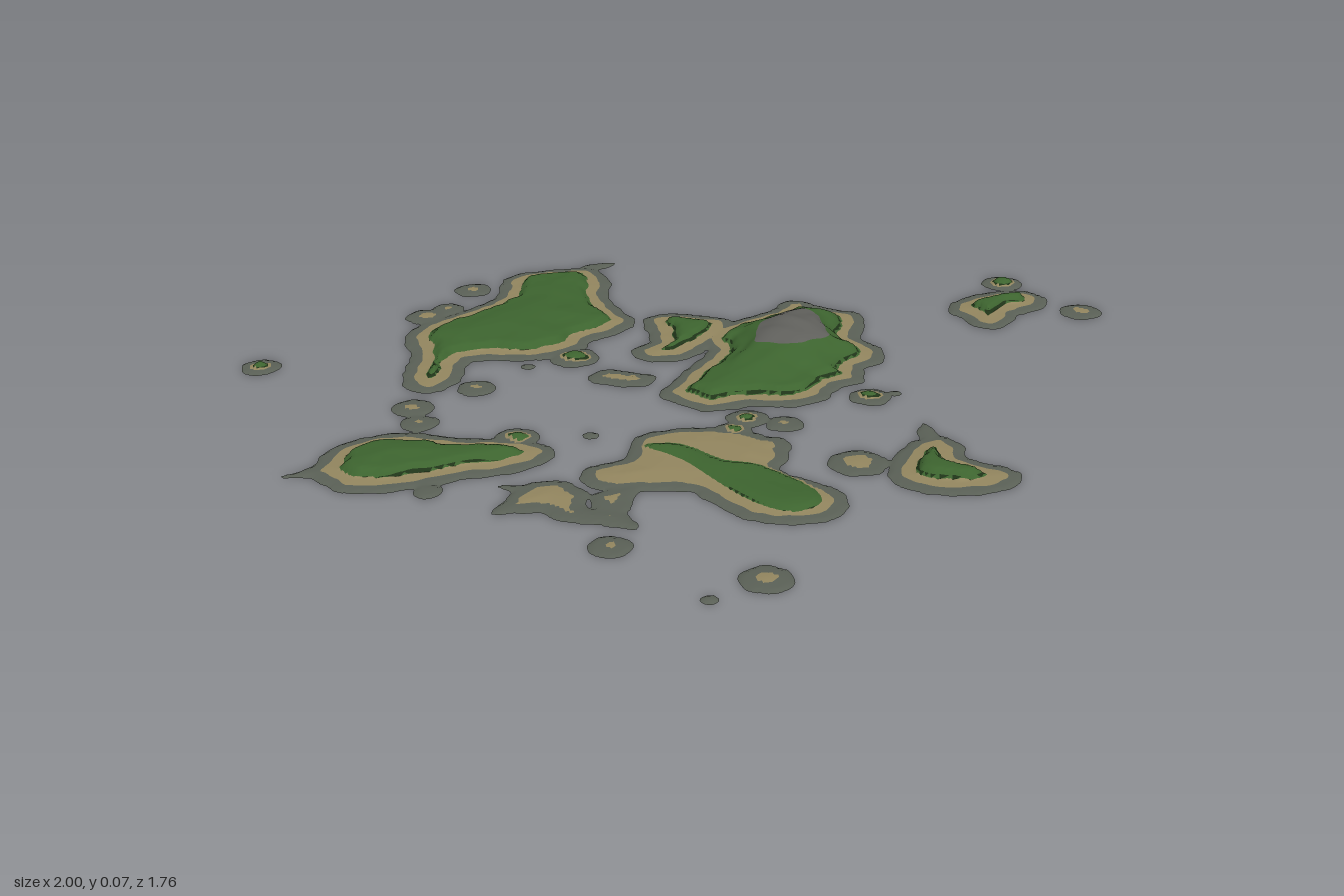
import * as THREE from 'three';
import { mergeVertices } from 'three/addons/utils/BufferGeometryUtils.js';

const STEP = 0.008, SHORE = 0.028, BEACH = 0.054;
const smooth = THREE.MathUtils.smoothstep;

// Soft repeatable bumps, about -1 to 1
const bumps = (x, z, f) =>
  (Math.sin(x * f + 1.7 * Math.sin(z * f * 0.7)) + Math.sin(z * f * 1.1 + 1.9 * Math.sin(x * f * 0.6 + 2))) / 2;

// Closed smooth outline from a few x, z pairs in hundredths
function outline(flat) {
  const pts = [];
  for (let i = 0; i < flat.length; i += 2) pts.push(new THREE.Vector3(flat[i] / 100, 0, flat[i + 1] / 100));
  return new THREE.CatmullRomCurve3(pts, true, 'centripetal').getPoints(pts.length * 3);
}

// Distance to an outline, positive inside
function inside(pts, x, z) {
  let best = Infinity, within = false;
  for (let i = 0, j = pts.length - 1; i < pts.length; j = i++) {
    const a = pts[j], b = pts[i], ex = b.x - a.x, ez = b.z - a.z;
    const t = THREE.MathUtils.clamp(((x - a.x) * ex + (z - a.z) * ez) / (ex * ex + ez * ez || 1), 0, 1);
    best = Math.min(best, Math.hypot(x - a.x - t * ex, z - a.z - t * ez));
    if ((a.z > z) !== (b.z > z) && x < a.x + ((z - a.z) / ez) * ex) within = !within;
  }
  return within ? best : -best;
}

function makeIslands() {
  const list = [];
  // top: plateau height (0 = sand only), cliff: share of the rim that is a cliff
  function island(top, cliff, flat, extra = {}) {
    const pts = outline(flat), box = new THREE.Box3().setFromPoints(pts).expandByScalar(0.04);
    list.push({ top, cliff, box, dist: (x, z) => inside(pts, x, z), beach: BEACH, ...extra });
  }
  // North-west plain
  island(0.018, 0.25, [-33, -84, -21, -85, -15, -84, -12, -72, -14, -64, -12, -52, -10, -45, -16, -38, -22, -35,
    -24, -31, -35, -26, -50, -28, -53, -18, -60, -12, -65, -16, -65, -25, -63, -34, -64, -45, -60, -53, -50, -60,
    -41, -68, -38, -80]);
  // Central mountain island and its north-west neighbour
  island(0.02, 0.9, [6, -37, 12, -41, 22, -46, 28, -50, 33, -48, 38, -44, 43, -40, 42, -32, 39, -25, 42, -18, 40, -10,
    35, -7, 33, 0, 27, 2, 22, 8, 14, 10, 6, 8, -3, 9, -8, 5, -12, -2, -8, -8, -5, -13, -1, -18, 3, -24, 2, -30],
  { peak: true });
  island(0.02, 0.9, [-8, -47, -1, -49, 6, -46, 12, -42, 11, -34, 4, -26, -3, -20, -12, -21, -14, -28, -9, -32]);
  // East, west and south-east islands
  island(0.024, 0.6, [64, -37, 67, -43, 78, -48, 87, -47, 90, -41, 87, -35, 80, -32, 77, -28, 71, -24, 67, -27, 66, -32]);
  island(0.022, 0.4, [-91, 23, -85, 20, -82, 13, -75, 8, -66, 7, -55, 12, -46, 14, -39, 18, -37, 23, -41, 28, -50, 31,
    -55, 31, -63, 33, -72, 34, -80, 32, -85, 25]);
  island(0.024, 0.9, [25, 46, 30, 36, 35, 31, 41, 30, 44, 36, 43, 41, 51, 49, 48, 55, 40, 57, 31, 55, 26, 50]);
  // South sand island with a strip of grass
  const strip = outline([-20, 23, -12, 25, -5, 34, 2, 37, 10, 50, 9, 56, 3, 58, -3, 53, -9, 41, -13, 32]);
  island(0.009, 0, [-20, 18, -8, 16, 3, 20, 8, 27, 8, 35, 5, 39, 13, 48, 15, 54, 11, 61, 3, 62, -5, 59, -11, 50, -14, 45,
    -23, 43, -31, 41, -34, 35, -31, 30, -24, 28], { grass: (x, z) => inside(strip, x, z) });
  // Low sandbanks and spits
  island(0, 0, [-45, 36, -38, 35, -33, 42, -34, 48, -28, 50, -26, 58, -33, 55, -40, 52, -43, 48, -52, 47, -50, 43]);
  island(0, 0, [-26, -13, -22, -18, -15, -15, -11, -12, -14, -7, -20, -8]);
  island(0, 0, [-18, -85, -13, -88, -9, -87, -9, -86, -14, -83]);
  island(0, 0, [36, 32, 39, 23, 40, 24, 40, 33]);
  island(0, 0, [-33, 43, -22, 40, -24, 44, -28, 52, -31, 52]);
  island(0, 0, [-50, 35, -45, 36, -42, 39, -45, 40]);
  // Round islets: x, z, radius in hundredths, and hill height in thousandths
  const islets = [
    [-96, -34, 4.5, 18], [95, -31, 5, 0], [83, -53, 5, 17], [-46, -74, 4.5, 0], [-58, -58, 5, 0], [-53, -62, 4, 0],
    [29, -47, 4.7, 0], [32, 8, 4.5, 12], [-50, -13, 4.2, 0], [-27, -26, 5.5, 12], [-64, -5, 4.5, 0], [-63, 3, 4, 0],
    [-44, 14, 4.7, 12], [4, 14, 4.5, 10], [11, 18, 4, 0], [0, 19, 4, 7], [5, 28, 5, 0], [21, 39, 6, 0],
    [-32, 64, 4.2, 0], [-7, 81, 5, 0], [-18, 86, 1.6, 0], [-29, 16, 1.7, 0], [-38, -23, 1.6, 0], [-63, 35, 3, 0],
    [-16, -12, 3, 6], [38, 7, 1.5, 0],
  ];
  for (const [cx, cz, cr, ht] of islets) {
    const x0 = cx / 100, z0 = cz / 100, r = cr / 100, m = r + 0.04;
    list.push({
      top: ht / 1000, cliff: 0.6, beach: 0.024,
      box: new THREE.Box3(new THREE.Vector3(x0 - m, 0, z0 - m), new THREE.Vector3(x0 + m, 0, z0 + m)),
      dist: (x, z) => r - Math.hypot(x - x0, z - z0),
    });
  }
  return list;
}

// Height y, band (0 shore, 1 beach, 2 grass, 3 rock) and cliff value at one spot
function sample(islands, x, z) {
  const v = { x, y: 0, z, band: -1, cliff: -0.02 };
  for (const s of islands) {
    if (x < s.box.min.x || x > s.box.max.x || z < s.box.min.z || z > s.box.max.z) continue;
    const d = s.dist(x, z) + 0.003 * bumps(x, z, 95);
    const g = !s.top ? d - 1 : s.grass ? s.grass(x, z) : d - s.beach - 0.005 * bumps(x + 3, z, 60);
    let band = d / SHORE;
    if (g > 0) band = 2 + Math.min(g / 0.05, 0.9);
    else if (d > SHORE) band = 1 + (d - SHORE) / (d - SHORE - g);
    let y = 0.003 * smooth(d, 0, 0.008) + 0.07 * Math.min(Math.max(d, 0), 0.08);
    if (g > 0) {
      y += s.top * (0.6 * smooth(g, 0, 0.016) + 0.4 * smooth(g, 0, 0.13));
      y += 0.0015 * bumps(x, z, 32) * smooth(g, 0, 0.05);
      v.cliff = Math.max(v.cliff, 0.007 - g - 0.014 * Math.max(0, bumps(x, z + 5, 14) + 1 - 2 * s.cliff));
    }
    if (s.peak && g > 0) {
      const dx = x - 0.23, dz = z + 0.23, u = dx * 0.7 - dz * 0.71, w = dx * 0.71 + dz * 0.7;
      const hill = 0.041 * Math.exp(-u * u / 0.026 - w * w / 0.012) * smooth(g, 0, 0.06);
      y += hill * (1 + 0.07 * bumps(x, z, 60));
      band = Math.max(band, 3 + (hill - 0.024 + 0.003 * bumps(x, z, 50)) * 20);
    }
    v.band = Math.max(v.band, band);
    v.y = Math.max(v.y, y);
  }
  return v;
}

// Keeps the side of a polygon where sign * (field - level) is positive
function clip(poly, field, level, sign) {
  const out = [];
  poly.forEach((a, i) => {
    const b = poly[(i + 1) % poly.length];
    const fa = sign * (a[field] - level), fb = sign * (b[field] - level);
    if (fa >= 0) out.push(a);
    if ((fa >= 0) !== (fb >= 0)) {
      const t = fa / (fa - fb), c = {};
      for (const k in a) c[k] = a[k] + (b[k] - a[k]) * t;
      out.push(c);
    }
  });
  return out;
}

export function createModel() {
  const group = new THREE.Group();
  group.name = 'archipelago';
  const islands = makeIslands();
  const bands = [
    { name: 'shore', color: 0x5a6056, lo: 0, hi: 1 },
    { name: 'beach', color: 0x93865f, lo: 1, hi: 2 },
    { name: 'cliffs', color: 0x1f3418, lo: 2, hi: 3, cliff: 1 },
    { name: 'grassland', color: 0x3d642f, lo: 2, hi: 3, cliff: -1 },
    { name: 'rockyPeak', color: 0x60605c, lo: 3, hi: 9 },
  ];
  for (const b of bands) b.pos = [];

  // Terrain grid, cut along the shoreline and the band borders
  const nx = Math.round(2 / STEP), nz = Math.round(1.8 / STEP), grid = [];
  for (let j = 0; j <= nz; j++)
    for (let i = 0; i <= nx; i++) grid.push(sample(islands, -1 + i * STEP, -0.9 + j * STEP));
  for (let j = 0; j < nz; j++) {
    for (let i = 0; i < nx; i++) {
      const k = j * (nx + 1) + i;
      const a = grid[k], b = grid[k + 1], c = grid[k + nx + 1], d = grid[k + nx + 2];
      for (const tri of [[a, c, b], [b, c, d]]) {
        if (tri.every((p) => p.band <= 0)) continue;
        for (const band of bands) {
          let poly = clip(clip(tri, 'band', band.lo, 1), 'band', band.hi, -1);
          if (band.cliff) poly = clip(poly, 'cliff', 0, band.cliff);
          for (let n = 1; n + 1 < poly.length; n++)
            for (const p of [poly[0], poly[n], poly[n + 1]]) band.pos.push(p.x, p.y, p.z);
        }
      }
    }
  }

  // One smooth mesh per ground type
  for (const band of bands) {
    let geo = new THREE.BufferGeometry();
    geo.setAttribute('position', new THREE.Float32BufferAttribute(band.pos, 3));
    geo = mergeVertices(geo, 1e-5);
    geo.computeVertexNormals();
    const mesh = new THREE.Mesh(geo, new THREE.MeshStandardMaterial({ color: band.color, side: THREE.DoubleSide }));
    mesh.name = band.name;
    group.add(mesh);
  }
  return group;
}
